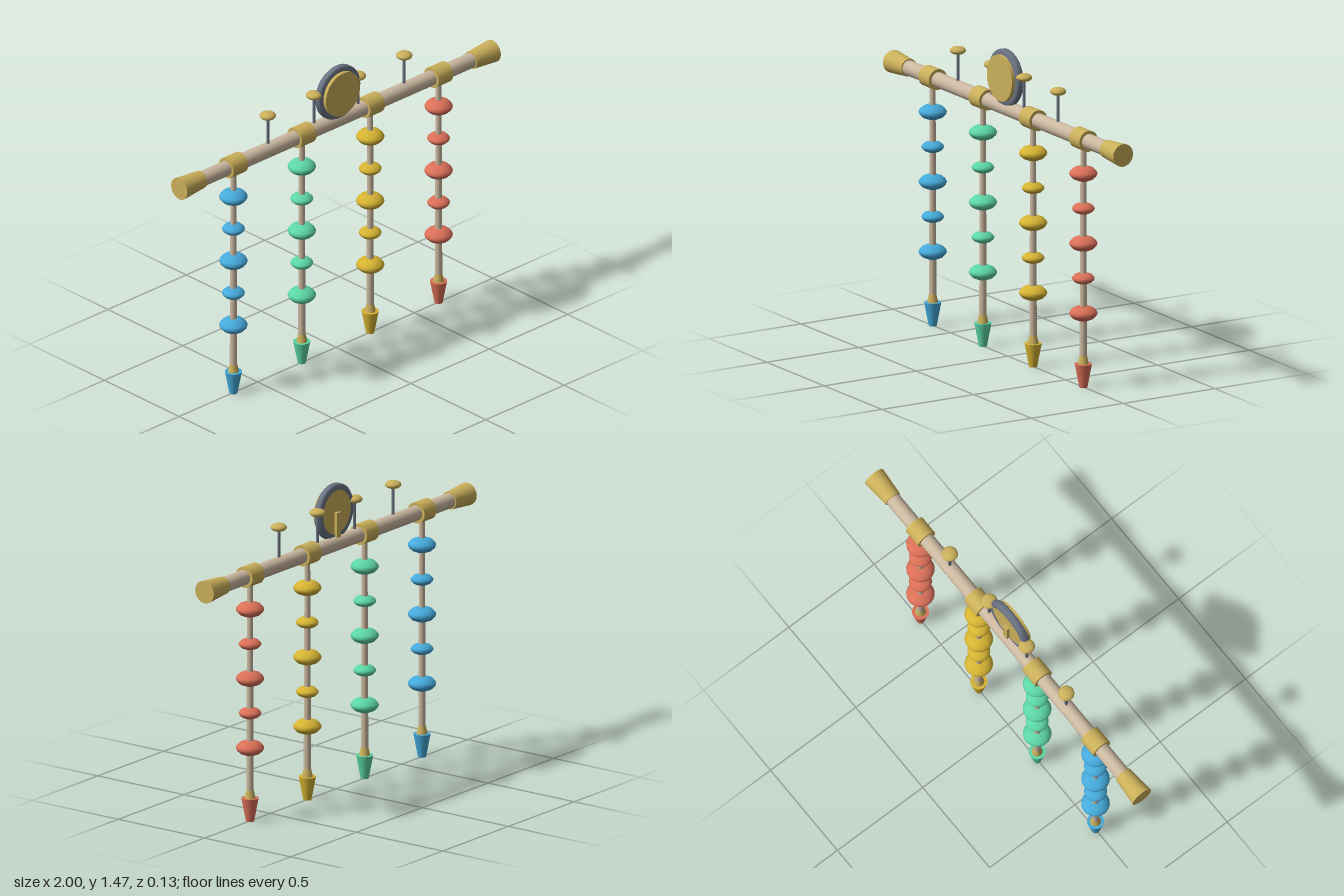
import * as THREE from 'three';

const mat = (name, color) => {
  const m = new THREE.MeshStandardMaterial({ color });
  m.name = name;
  return m;
};

export function createModel() {
  const model = new THREE.Group();
  model.name = 'hangingChime';
  const wood = mat('wood', 0xcbb8a0);
  const brass = mat('brass', 0xcbb05a);
  const steel = mat('steel', 0x6c7585);
  const strandColours = [
    mat('blue', 0x45aadb), mat('green', 0x5cd6a6), mat('yellow', 0xd6b432), mat('coral', 0xdb7058),
  ];
  const BAR_Y = 1.183;

  const add = (parent, name, geometry, material, x = 0, y = 0, z = 0) => {
    const mesh = new THREE.Mesh(geometry, material);
    mesh.name = name;
    mesh.position.set(x, y, z);
    parent.add(mesh);
    return mesh;
  };
  const cyl = (top, bottom, h, sides = 20) => new THREE.CylinderGeometry(top, bottom, h, sides);
  const lathe = (pts, sides = 24) =>
    new THREE.LatheGeometry(pts.map(([r, y]) => new THREE.Vector2(r, y)), sides);

  // Horizontal bar with flared end caps
  add(model, 'bar', cyl(0.036, 0.036, 1.8).rotateZ(Math.PI / 2), wood, 0, BAR_Y);
  for (const s of [-1, 1]) {
    const cap = add(model, 'endCap', cyl(0.054, 0.042, 0.14), brass, s * 0.93, BAR_Y);
    cap.rotation.z = -s * Math.PI / 2;
  }

  // Bead: flattened with a soft edge at the widest point
  const bead = (r, h) => lathe([
    [0, -h], [r * 0.38, -h * 0.97], [r * 0.72, -h * 0.7], [r * 0.93, -h * 0.3], [r, 0],
    [r * 0.93, h * 0.3], [r * 0.72, h * 0.7], [r * 0.38, h * 0.97], [0, h],
  ]);
  const bigBead = bead(0.066, 0.035);
  const smallBead = bead(0.053, 0.026);

  // Four hanging strands
  strandColours.forEach((colour, i) => {
    const strand = new THREE.Group();
    strand.name = 'strand';
    strand.position.x = (i - 1.5) * 0.436;
    model.add(strand);
    add(strand, 'collar', cyl(0.05, 0.05, 0.092).rotateZ(Math.PI / 2), brass, 0, BAR_Y);
    add(strand, 'rod', cyl(0.0135, 0.0175, 1.02, 14), wood, 0, 0.65);
    for (let b = 0; b < 5; b++) {
      add(strand, 'bead', b % 2 ? smallBead : bigBead, colour, 0, 1.02 - b * 0.1667);
    }
    add(strand, 'ferrule', cyl(0.016, 0.026, 0.046), brass, 0, 0.133);
    add(strand, 'tip', cyl(0.04, 0.019, 0.112), colour, 0, 0.056);
  });

  // Pins standing on the bar
  for (const x of [-0.435, -0.14, 0.14, 0.435]) {
    add(model, 'pinStem', cyl(0.007, 0.007, 0.16, 10), steel, x, 1.28);
    add(model, 'pinHead', new THREE.SphereGeometry(0.038, 20, 10).scale(1, 0.5, 1), brass, x, 1.362);
  }

  // Round medallion: brass disc in a steel rim, with a mounting tab behind
  const medallion = new THREE.Group();
  medallion.name = 'medallion';
  medallion.position.y = 1.333;
  model.add(medallion);
  add(medallion, 'disc', cyl(0.109, 0.109, 0.05, 40).rotateX(Math.PI / 2), brass, 0, 0, 0.022);
  const rim = lathe([
    [0.105, -0.018], [0.126, -0.018], [0.134, -0.01], [0.134, 0.01], [0.126, 0.018], [0.105, 0.018],
  ], 40).rotateX(Math.PI / 2);
  add(medallion, 'rim', rim, steel, 0, 0, 0.012).material.side = THREE.DoubleSide;
  add(medallion, 'mountingTab', new THREE.BoxGeometry(0.03, 0.13, 0.016), brass, 0, -0.065, -0.01);

  return model;
}
